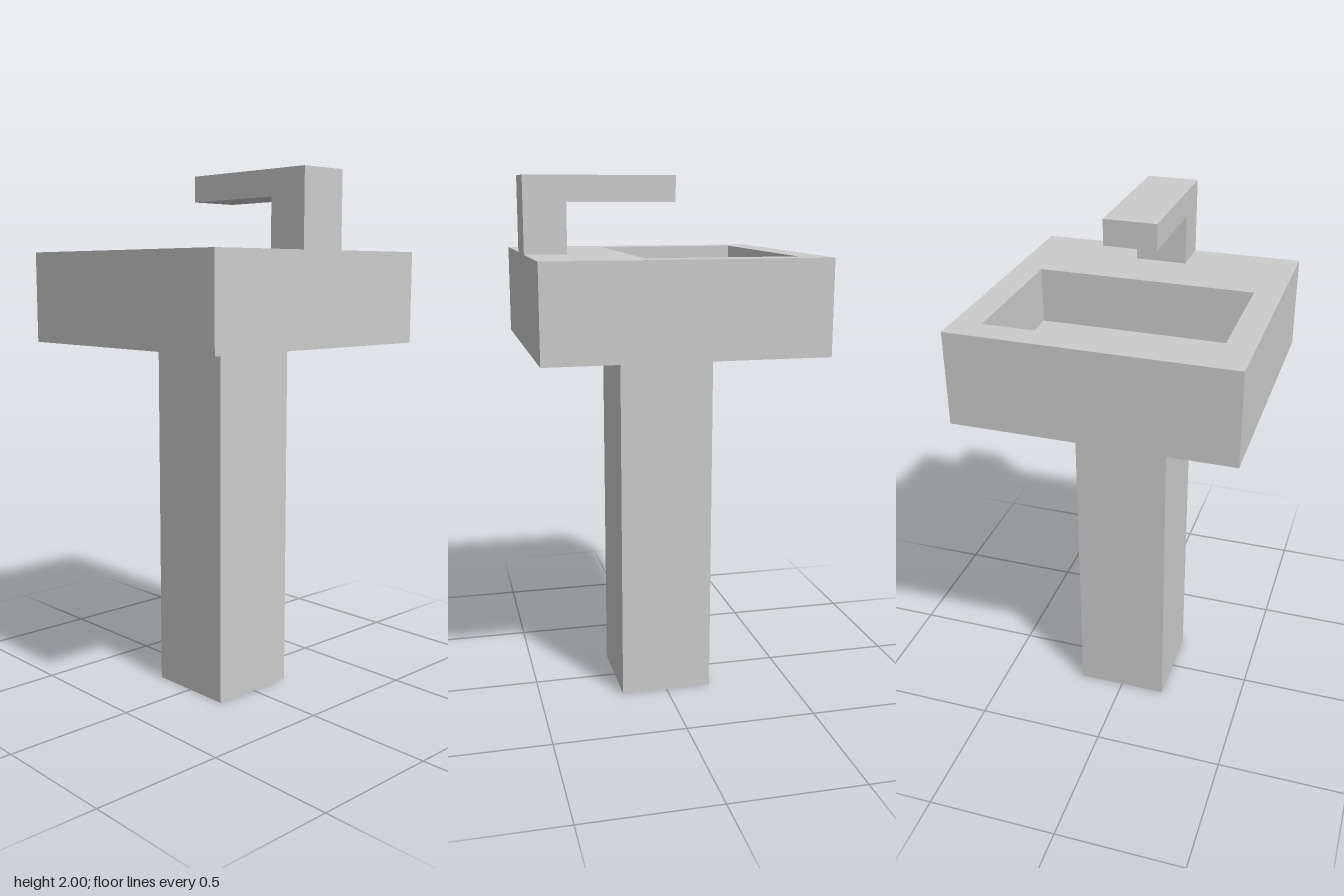
import * as THREE from 'three';

const grey = new THREE.MeshStandardMaterial({ color: 0xcccccc });
const black = new THREE.MeshStandardMaterial({ color: 0x0a0a0a });

const HALF = 0.512; // half width of the basin block
const BASE = 1.375, DRAIN = 1.475, FLOOR = 1.51, RIM = 1.72;

// Corners of a rectangle as 2D points
function rect(x0, x1, z0, z1) {
  return [[x0, z0], [x1, z0], [x1, z1], [x0, z1]].map(([x, z]) => new THREE.Vector2(x, z));
}

// Square slab between two heights, with an optional rectangular opening
function slab(y0, y1, opening) {
  const shape = new THREE.Shape(rect(-HALF, HALF, -HALF, HALF));
  if (opening) shape.holes.push(new THREE.Path(opening));
  return new THREE.ExtrudeGeometry(shape, { depth: y1 - y0, bevelEnabled: false })
    .rotateX(-Math.PI / 2)
    .translate(0, y0, 0);
}

export function createModel() {
  const model = new THREE.Group();
  model.name = 'pedestalSink';

  function add(name, geometry, material = grey, parent = model) {
    const mesh = new THREE.Mesh(geometry, material);
    mesh.name = name;
    parent.add(mesh);
  }

  // Square pedestal
  add('pedestal', new THREE.BoxGeometry(0.355, BASE, 0.355).translate(0, BASE / 2, 0));

  // Basin: solid base, floor pierced by the drain, and walls around the bowl
  const basin = new THREE.Group();
  basin.name = 'basin';
  model.add(basin);
  add('basinBase', slab(BASE, DRAIN), grey, basin);
  add('basinFloor', slab(DRAIN, FLOOR, rect(-0.21, -0.07, -0.06, 0.06)), grey, basin);
  add('basinWalls', slab(FLOOR, RIM, rect(-0.41, 0.135, -0.41, 0.41)), grey, basin);

  // Dark bottom of the drain
  add('drain', new THREE.BoxGeometry(0.14, 0.004, 0.12).translate(-0.14, DRAIN + 0.002, 0), black);

  // Tap: an L-shaped side profile, reaching over the bowl
  const profile = new THREE.Shape([
    [0.355, RIM], [HALF, RIM], [HALF, 2], [-0.05, 2], [-0.05, 1.905], [0.355, 1.905],
  ].map(([x, y]) => new THREE.Vector2(x, y)));
  add('tap', new THREE.ExtrudeGeometry(profile, { depth: 0.196, bevelEnabled: false }).translate(0, 0, -0.098));

  return model;
}
